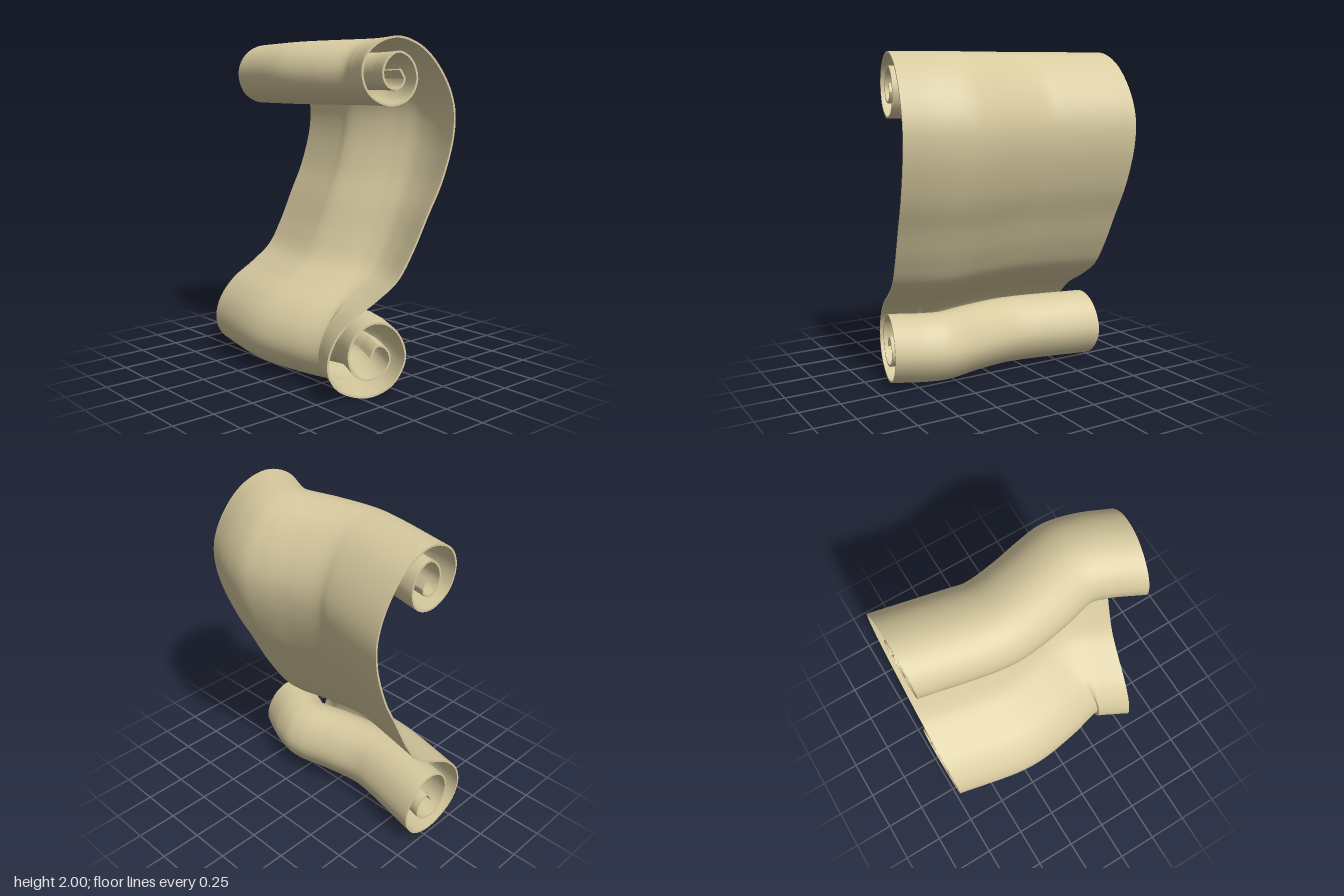
import * as THREE from 'three';
import { toCreasedNormals } from 'three/addons/utils/BufferGeometryUtils.js';

const curve = (pts) => new THREE.CatmullRomCurve3(pts.map(([a, b]) => new THREE.Vector3(a, b, 0)));

// Scroll profile as (z, y) at the right-hand end, from the inside of the top curl to the inside of the bottom one
const profile = curve([
  [0.03, 1.82], [0.0, 1.765], [0.04, 1.715], [0.1, 1.725], [0.135, 1.79], [0.11, 1.87], [0.04, 1.915],
  [-0.04, 1.875], [-0.078, 1.77], [-0.03, 1.665], [0.09, 1.626], [0.215, 1.685], [0.26, 1.8],
  [0.23, 1.9], [0.15, 1.967], [0.03, 1.993], [-0.12, 1.935], [-0.25, 1.79], [-0.32, 1.62],
  [-0.32, 1.45], [-0.25, 1.2], [-0.155, 1.0], [-0.06, 0.8], [0.035, 0.65], [0.17, 0.55],
  [0.33, 0.45], [0.43, 0.33], [0.459, 0.2], [0.41, 0.09], [0.3, 0.025], [0.18, 0.008],
  [0.05, 0.06], [-0.025, 0.2], [0.02, 0.34], [0.1, 0.41], [0.19, 0.424], [0.29, 0.37],
  [0.335, 0.26], [0.3, 0.15], [0.22, 0.105], [0.12, 0.13], [0.075, 0.2], [0.1, 0.27],
  [0.16, 0.293], [0.2, 0.23],
]);

// Rearmost and foremost edges in plan as (x, z); sections run straight between them
const backRail = curve([
  [-0.73, -0.475], [-0.29, -0.38], [-0.2, -0.36], [0, -0.385], [0.2, -0.43],
  [0.33, -0.45], [0.45, -0.435], [0.57, -0.4], [0.73, -0.33],
]);
const frontRail = curve([
  [-0.73, 0.345], [-0.3, 0.43], [-0.12, 0.435], [0.15, 0.395], [0.37, 0.345],
  [0.368, 0.36], [0.365, 0.37], [0.385, 0.38], [0.55, 0.465],
]);

const BACK = -0.33, DEPTH = 0.795, HALF = 0.006;

function sheetGeometry(steps, sections) {
  // Closed ring: one face of the sheet forwards, the other face backwards
  const mid = profile.getSpacedPoints(steps);
  const side = (sign) => mid.map((p, i) => {
    const a = mid[Math.max(i - 1, 0)], b = mid[Math.min(i + 1, steps)];
    const dx = b.x - a.x, dy = b.y - a.y, len = Math.hypot(dx, dy);
    return [p.x - sign * HALF * dy / len, p.y + sign * HALF * dx / len];
  });
  const ring = [...side(1), ...side(-1).reverse()];
  const n = ring.length;

  const positions = [], index = [];
  for (let s = 0; s <= sections; s++) {
    const back = backRail.getPoint(s / sections), front = frontRail.getPoint(s / sections);
    for (const [z, y] of ring) {
      const p = back.clone().lerp(front, (z - BACK) / DEPTH);
      positions.push(p.x, y, p.y);
    }
  }
  const quad = (a, b, c, d) => index.push(a, b, c, a, c, d);
  for (let s = 0; s < sections; s++) {
    for (let i = 0; i < n; i++) {
      const j = (i + 1) % n, r = s * n, q = r + n;
      quad(r + i, r + j, q + j, q + i);
    }
  }
  // End edges of the sheet
  const last = sections * n;
  for (let i = 0; i < steps; i++) {
    const k = n - 1 - i;
    quad(last + i, last + i + 1, last + k - 1, last + k);
    quad(k, k - 1, i + 1, i);
  }
  const geometry = new THREE.BufferGeometry();
  geometry.setAttribute('position', new THREE.Float32BufferAttribute(positions, 3));
  geometry.setIndex(index);
  return toCreasedNormals(geometry, 0.7);
}

export function createModel() {
  const group = new THREE.Group();
  group.name = 'scroll';
  const material = new THREE.MeshStandardMaterial({ color: 0xd8cba0, side: THREE.DoubleSide });
  const sheet = new THREE.Mesh(sheetGeometry(200, 64), material);
  sheet.name = 'parchmentSheet';
  group.add(sheet);
  return group;
}
